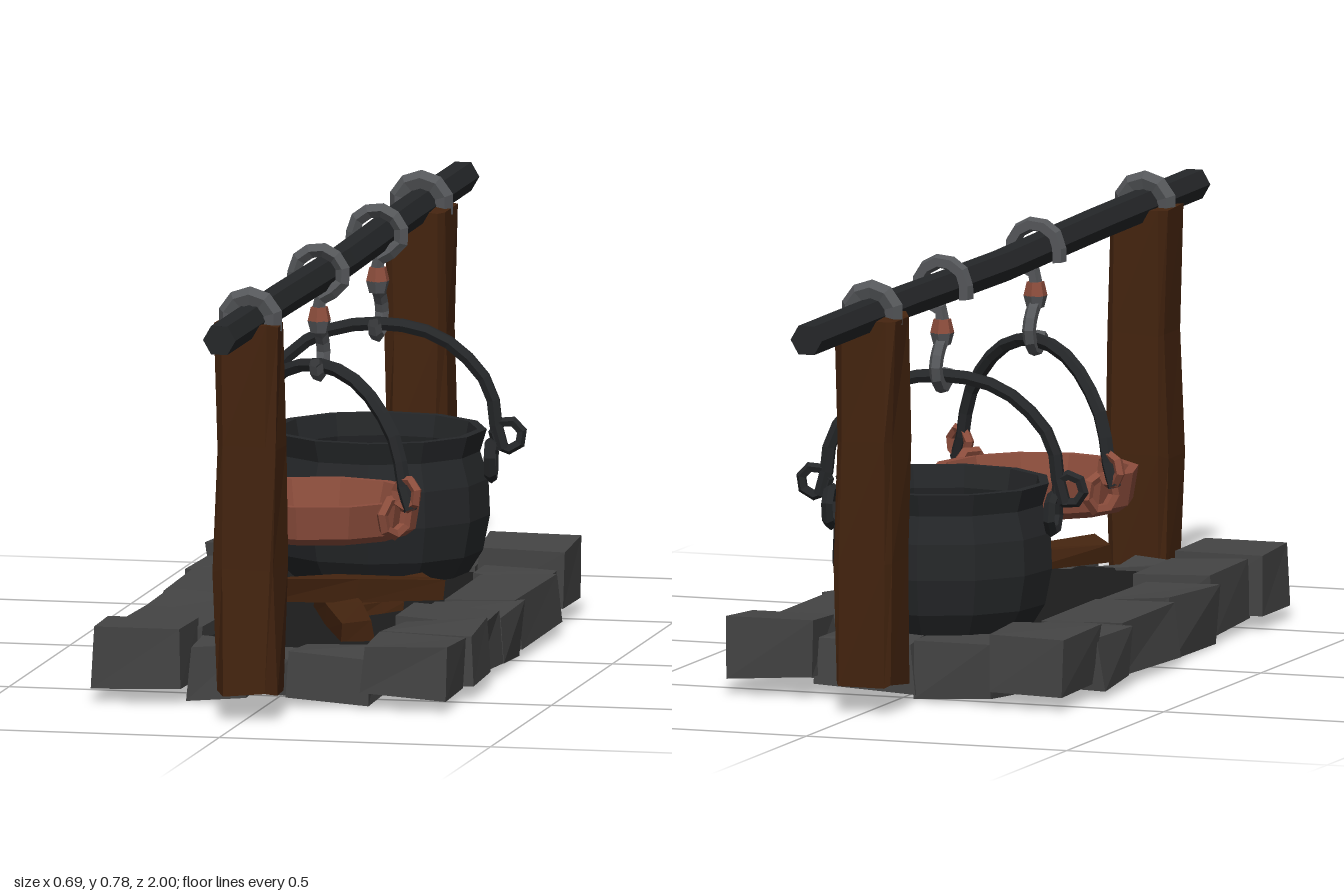
import * as THREE from 'three';

const mat = (color) => new THREE.MeshStandardMaterial({ color, flatShading: true, side: THREE.DoubleSide });
const M = {
  stone: mat(0x444444), ash: mat(0x1c1c1c), iron: mat(0x252729), hook: mat(0x55575a),
  wood: mat(0x44240f), copper: mat(0x8c4d3c),
};
const V = (x, y, z = 0) => new THREE.Vector3(x, y, z);

function add(parent, name, geometry, material, x = 0, y = 0, z = 0) {
  const mesh = new THREE.Mesh(geometry, material);
  mesh.name = name;
  mesh.position.set(x, y, z);
  parent.add(mesh);
  return mesh;
}

// Shifts vertices by a repeatable amount, keeping shared corners together
function roughen(geometry, amount, seed) {
  const p = geometry.attributes.position;
  const h = (a, b, c, k) => {
    const s = Math.sin(Math.round(a * 1000) * 1.3 + Math.round(b * 1000) * 0.71 + Math.round(c * 1000) * 2.17 + seed * 5.1 + k) * 437.58;
    return (s - Math.floor(s) - 0.5) * 2 * amount;
  };
  for (let i = 0; i < p.count; i++) {
    const x = p.getX(i), y = p.getY(i), z = p.getZ(i);
    p.setXYZ(i, x + h(x, y, z, 1), y + h(x, y, z, 2), z + h(x, y, z, 3));
  }
  geometry.computeVertexNormals();
  return geometry;
}

// Faceted rod along a smooth path
function rod(points, radius, segments = 10, sides = 6) {
  return new THREE.TubeGeometry(new THREE.CatmullRomCurve3(points), segments, radius, sides, false);
}

// Hewn timber: a square section with cut corners
function timber(width, height, seed) {
  const g = new THREE.CylinderGeometry(1, 1, height, 8, 3, false, Math.PI / 8);
  const p = g.attributes.position;
  for (let i = 0; i < p.count; i++) {
    const x = p.getX(i), z = p.getZ(i);
    if (Math.hypot(x, z) < 0.5) continue;
    const side = (v) => Math.sign(v) * width * (Math.abs(v) > 0.6 ? 0.5 : 0.38);
    p.setX(i, side(x));
    p.setZ(i, side(z));
  }
  return roughen(g, width * 0.05, seed);
}

// Piece of firewood lying between two points
function log(parent, a, b, width, thick, seed) {
  const g = roughen(new THREE.BoxGeometry(width, thick, a.distanceTo(b), 1, 1, 2), thick * 0.16, seed);
  const m = add(parent, 'log', g, M.wood);
  m.position.copy(a).lerp(b, 0.5);
  m.lookAt(b);
}

// Hollow vessel with side lugs and a bail handle
function vessel(name, profile, material, lugX, lugY, bail, z, turn) {
  const g = new THREE.Group();
  g.name = name;
  g.position.z = z;
  g.rotation.y = turn;
  add(g, name + 'Body', new THREE.LatheGeometry(profile.map(([r, y]) => new THREE.Vector2(r, y)), 12), material);
  for (const s of [-1, 1]) {
    const lug = add(g, 'lug', new THREE.TorusGeometry(0.033, 0.011, 5, 7), material, s * lugX, lugY, 0);
    lug.rotation.y = Math.PI / 2;
    lug.rotation.x = s * 0.25;
    const loop = add(g, 'loop', new THREE.TorusGeometry(0.026, 0.01, 5, 7), material, s * (lugX + 0.03), lugY + 0.045, 0);
    loop.rotation.z = 0.3 * s;
  }
  const half = bail.map(([x, y]) => V(x, y));
  const mirrored = bail.slice(0, -1).reverse().map(([x, y]) => V(-x, y));
  add(g, 'bailHandle', rod([...half, ...mirrored], 0.013, 16), M.iron);
  return g;
}

// Hook over the bar, swivel bead and lower hook
function hanger(z) {
  const g = new THREE.Group();
  g.name = 'hanger';
  g.position.z = z;
  add(g, 'upperHook', rod([V(-0.045, 0.70), V(-0.04, 0.745), V(0, 0.768), V(0.04, 0.745), V(0.042, 0.705), V(0, 0.675), V(0, 0.655)], 0.014, 10, 5), M.hook);
  add(g, 'swivelBead', new THREE.CylinderGeometry(0.016, 0.022, 0.025, 6), M.copper, 0, 0.65, 0);
  add(g, 'swivelCap', new THREE.CylinderGeometry(0.022, 0.016, 0.022, 6), M.hook, 0, 0.627, 0);
  add(g, 'lowerHook', rod([V(0, 0.625, 0), V(0, 0.605, -0.022), V(0, 0.572, -0.034), V(0, 0.542, -0.012), V(0, 0.541, 0.014), V(0, 0.565, 0.03)], 0.013, 8, 5), M.hook);
  return g;
}

export function createModel() {
  const model = new THREE.Group();
  model.name = 'campfireCookingSpit';

  // Hearth stones: x0, x1, z0, z1, bottom, top
  const stones = [
    [-0.33, -0.18, -0.56, -0.39, 0.03, 0.135], [-0.34, -0.19, -0.39, -0.235, 0.02, 0.115],
    [-0.325, -0.17, -0.23, 0.04, 0.02, 0.11], [-0.31, -0.17, 0.05, 0.3, 0.01, 0.115],
    [-0.295, -0.145, 0.3, 0.49, 0.02, 0.125], [-0.315, -0.15, 0.49, 0.645, 0.03, 0.135],
    [-0.145, -0.035, 0.49, 0.595, 0.01, 0.105], [-0.035, 0.045, 0.47, 0.59, 0.02, 0.09],
    [0.04, 0.185, 0.47, 0.605, 0.01, 0.095], [0.18, 0.33, 0.46, 0.625, 0.025, 0.12],
    [0.18, 0.34, 0.3, 0.455, 0.02, 0.12], [0.17, 0.325, 0.13, 0.3, 0.02, 0.12],
    [0.165, 0.325, -0.02, 0.13, 0.01, 0.105], [0.18, 0.325, -0.33, -0.02, 0.02, 0.11],
    [0.17, 0.3, -0.43, -0.33, 0.015, 0.10], [0.15, 0.315, -0.575, -0.43, 0.035, 0.14],
    [-0.18, -0.03, -0.53, -0.41, 0.01, 0.105], [-0.03, 0.15, -0.535, -0.41, 0.02, 0.11],
  ];
  const hearth = new THREE.Group();
  hearth.name = 'hearth';
  model.add(hearth);
  stones.forEach(([x0, x1, z0, z1, y0, y1], i) => {
    const g = new THREE.BoxGeometry(x1 - x0, y1 - y0, z1 - z0);
    const index = Array.from(g.index.array);
    index.splice(18, 6); // open underside
    g.setIndex(index);
    add(hearth, 'stone', roughen(g, 0.008, i), M.stone, (x0 + x1) / 2, (y0 + y1) / 2, (z0 + z1) / 2);
  });
  const floor = add(hearth, 'ashFloor', new THREE.PlaneGeometry(0.42, 1.0), M.ash, 0, 0.095, 0.02);
  floor.rotation.x = -Math.PI / 2;

  // Firewood
  const firewood = new THREE.Group();
  firewood.name = 'firewood';
  model.add(firewood);
  log(firewood, V(-0.085, 0.165, 0.3), V(0.18, 0.135, 0.03), 0.065, 0.035, 1);
  log(firewood, V(0.13, 0.11, 0.43), V(-0.02, 0.115, 0.03), 0.055, 0.05, 2);
  log(firewood, V(-0.03, 0.105, 0.03), V(0.14, 0.11, -0.13), 0.04, 0.04, 3);
  log(firewood, V(0.06, 0.105, 0.13), V(0.13, 0.11, 0.09), 0.025, 0.02, 4);
  log(firewood, V(0.06, 0.115, -0.1), V(0.1, 0.12, -0.03), 0.025, 0.02, 5);

  // Posts, each with a staple over the bar
  [0.745, -0.66].forEach((z, i) => {
    add(model, 'post', timber(0.11, 0.67, i + 7), M.wood, 0, 0.385, z);
    const staple = add(model, 'staple', new THREE.TorusGeometry(0.043, 0.018, 5, 6, Math.PI * 1.2), M.hook, 0, 0.724, z);
    staple.rotation.z = -Math.PI * 0.1;
  });

  // Bar, sagging a little in the middle
  const bar = [V(0, 0.725, 1), V(0, 0.722, 0.4), V(0, 0.716, 0), V(0, 0.722, -0.5), V(0, 0.722, -1)];
  add(model, 'bar', rod(bar, 0.03, 8), M.iron);
  add(model, 'barEnd', new THREE.CircleGeometry(0.03, 6), M.iron, 0, 0.725, 1);
  add(model, 'barEnd', new THREE.CircleGeometry(0.03, 6), M.iron, 0, 0.722, -1);

  // Cauldron and pan with their hangers
  model.add(vessel('cauldron',
    [[0, 0.105], [0.165, 0.11], [0.19, 0.15], [0.203, 0.215], [0.2, 0.28], [0.185, 0.33], [0.197, 0.37],
      [0.18, 0.37], [0.172, 0.33], [0.187, 0.27], [0.185, 0.2], [0.15, 0.13], [0, 0.125]],
    M.iron, 0.205, 0.315,
    [[0.225, 0.335], [0.215, 0.37], [0.2, 0.45], [0.115, 0.535], [0, 0.56]], -0.3, 0.13));
  model.add(vessel('pan',
    [[0, 0.25], [0.16, 0.252], [0.178, 0.265], [0.188, 0.325], [0.17, 0.325], [0.155, 0.272], [0, 0.268]],
    M.copper, 0.185, 0.3,
    [[0.225, 0.315], [0.21, 0.35], [0.185, 0.44], [0.1, 0.53], [0, 0.557]], 0.18, -0.53));
  model.add(hanger(0.18), hanger(-0.3));
  return model;
}
